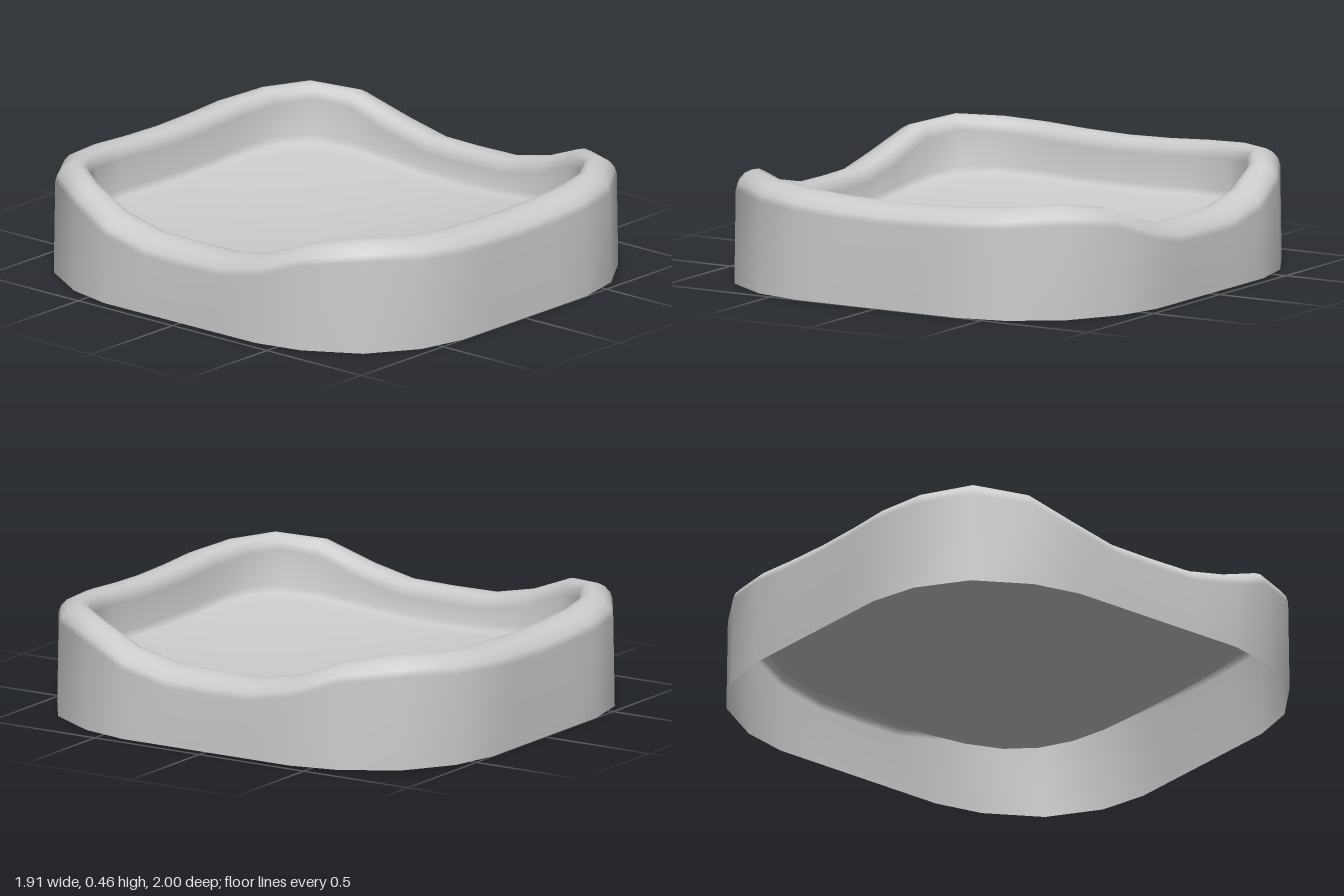
import * as THREE from 'three';

// One quarter of the outline, front middle to left middle:
// outer x, outer z, inner x, inner z, rim height
const QUARTER = [
  [0, 1, 0, 0.815, 0.42],
  [0.2, 1, 0.2, 0.815, 0.425],
  [0.38, 1, 0.38, 0.815, 0.435],
  [0.58, 0.955, 0.55, 0.79, 0.447],
  [0.78, 0.82, 0.68, 0.715, 0.457],
  [0.91, 0.6, 0.753, 0.585, 0.43],
  [0.955, 0.4, 0.775, 0.4, 0.355],
  [0.955, 0.2, 0.775, 0.2, 0.313],
  [0.955, 0, 0.775, 0, 0.31],
];

// Mirror the quarter into a full loop
function outline() {
  const mirror = (p, sx, sz) => [p[0] * sx, p[1] * sz, p[2] * sx, p[3] * sz, p[4]];
  const back = QUARTER.slice(0, -1).reverse().map((p) => mirror(p, 1, -1));
  const half = [...QUARTER, ...back];
  const other = half.slice(1, -1).reverse().map((p) => mirror(p, -1, 1));
  return [...half, ...other];
}

// Join closed rings of points into one smooth surface
function loft(rings) {
  const n = rings[0].length;
  const index = [];
  for (let j = 0; j < rings.length - 1; j++) {
    for (let i = 0; i < n; i++) {
      const a = j * n + i, b = j * n + ((i + 1) % n);
      index.push(a, b, b + n, a, b + n, a + n);
    }
  }
  const geometry = new THREE.BufferGeometry();
  geometry.setAttribute('position', new THREE.Float32BufferAttribute(rings.flat(2), 3));
  geometry.setIndex(index);
  geometry.computeVertexNormals();
  return geometry;
}

// Scooped floor: deepest in the middle, rising mostly to front and back
const floorHeight = (x, z) => 0.13 + 0.06 * x * x + 0.14 * z * z;

export function createModel() {
  const group = new THREE.Group();
  group.name = 'dishedTray';
  const material = new THREE.MeshStandardMaterial({ color: 0xcccccc, side: THREE.DoubleSide });
  const loop = outline();

  // Point part way (t) from the outer to the inner outline
  const at = (p, t, y) => [p[0] + (p[2] - p[0]) * t, y, p[1] + (p[3] - p[1]) * t];

  // Point on the floor at scale s of the inner outline
  const onFloor = (p, s, lift) => [p[2] * s, floorHeight(p[2] * s, p[3] * s) + lift, p[3] * s];

  // Outer wall and rounded wavy rim: [inset, drop below rim]
  const rim = [[0.04, 0.075], [0.1, 0.048], [0.25, 0.022], [0.45, 0.006], [0.65, 0],
    [0.82, 0.008], [0.93, 0.028], [0.98, 0.06]];
  // Fillet and floor: [scale, lift above floor]
  const floor = [[1, 0.02], [0.97, 0.002], [0.9, 0], [0.75, 0], [0.6, 0], [0.45, 0],
    [0.3, 0], [0.15, 0], [0, 0]];

  const tray = new THREE.Mesh(loft([
    loop.map((p) => at(p, 0, 0)),
    ...rim.map(([t, drop]) => loop.map((p) => at(p, t, p[4] - drop))),
    ...floor.map(([s, lift]) => loop.map((p) => onFloor(p, s, lift))),
  ]), material);
  tray.name = 'wallRimAndFloor';
  group.add(tray);

  return group;
}
